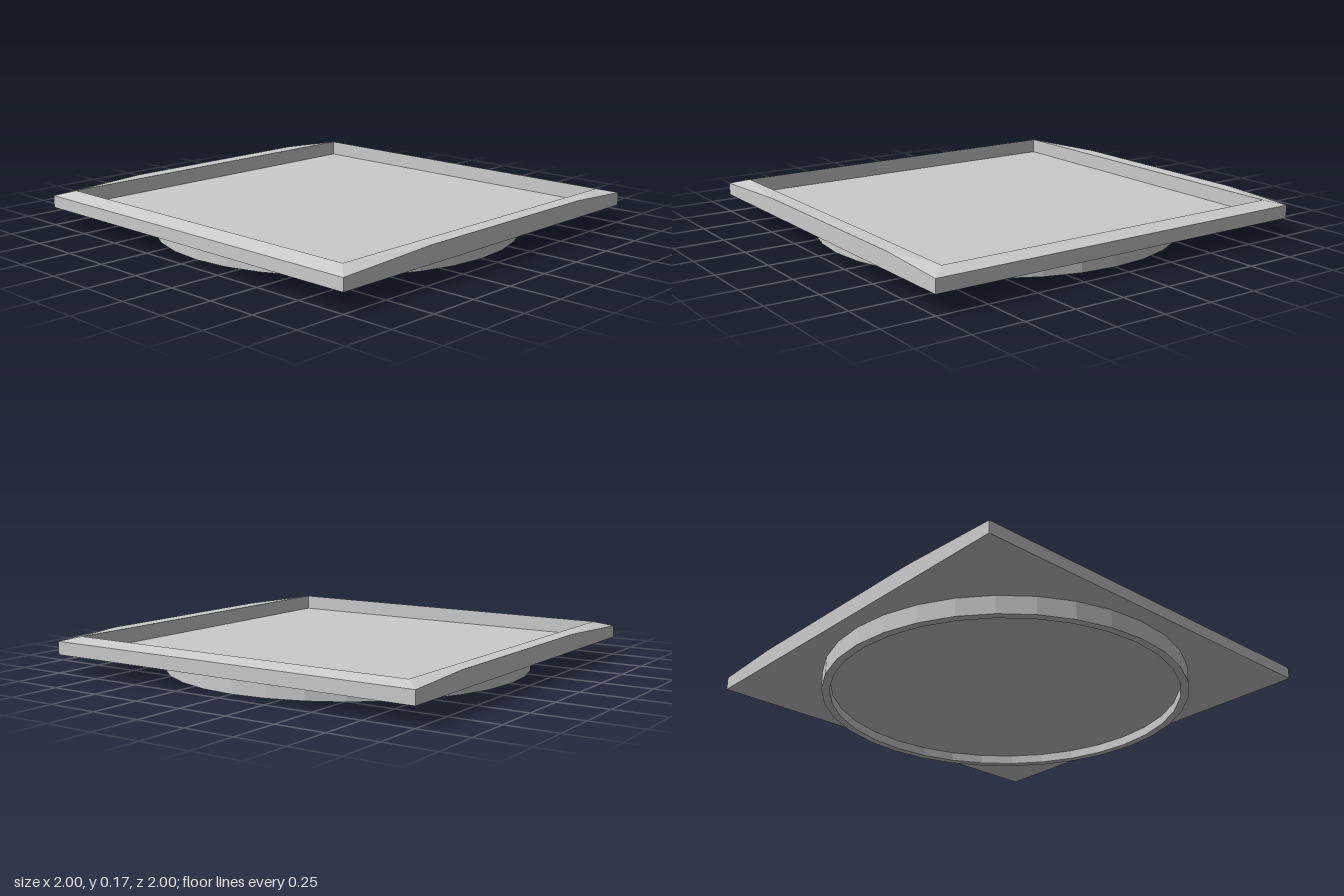
import * as THREE from 'three';

const material = new THREE.MeshStandardMaterial({ color: 0xcccccc, flatShading: true });

// Joins closed loops of equal length with quads, working from one loop to the next.
function loft(loops) {
  const positions = [];
  for (let k = 0; k < loops.length - 1; k++) {
    const a = loops[k], b = loops[k + 1], n = a.length;
    for (let i = 0; i < n; i++) {
      const j = (i + 1) % n;
      positions.push(...a[i], ...a[j], ...b[j], ...a[i], ...b[j], ...b[i]);
    }
  }
  const geometry = new THREE.BufferGeometry();
  geometry.setAttribute('position', new THREE.Float32BufferAttribute(positions, 3));
  geometry.computeVertexNormals();
  return geometry;
}

export function createModel() {
  const group = new THREE.Group();
  group.name = 'squareTray';

  const baseY = 0.09, floorY = 0.1, rimY = 0.175, inner = 0.92;

  // Outer rim edge: low at the corners, full height along the middle of each side
  const rim = [
    [-1, 0.15, 1], [1, 0.15, 1], [1, rimY, 0.47], [1, rimY, -0.63],
    [1, 0.155, -1], [-1, 0.155, -1], [-1, rimY, -0.63], [-1, rimY, 0.47],
  ];
  const atHeight = (loop, y) => loop.map(([x, , z]) => [x, y, z]);
  const centre = (y) => rim.map(() => [0, y, 0]);
  const lip = rim.map(([x, , z]) => [Math.sign(x) * inner, rimY, Math.sign(z) * inner]);

  // Underside, outer wall, sloped rim, inner wall and recessed floor
  const tray = new THREE.Mesh(
    loft([centre(baseY), atHeight(rim, baseY), rim, lip, atHeight(lip, floorY), centre(floorY)]),
    material
  );
  tray.name = 'tray';
  group.add(tray);

  // Round foot with a shallow recess underneath
  const profile = [[0, 0.045], [0.87, 0.045], [0.87, 0], [0.91, 0], [0.91, baseY]]
    .map(([r, y]) => new THREE.Vector2(r, y));
  const foot = new THREE.Mesh(new THREE.LatheGeometry(profile, 32), material);
  foot.name = 'footRing';
  group.add(foot);

  return group;
}
